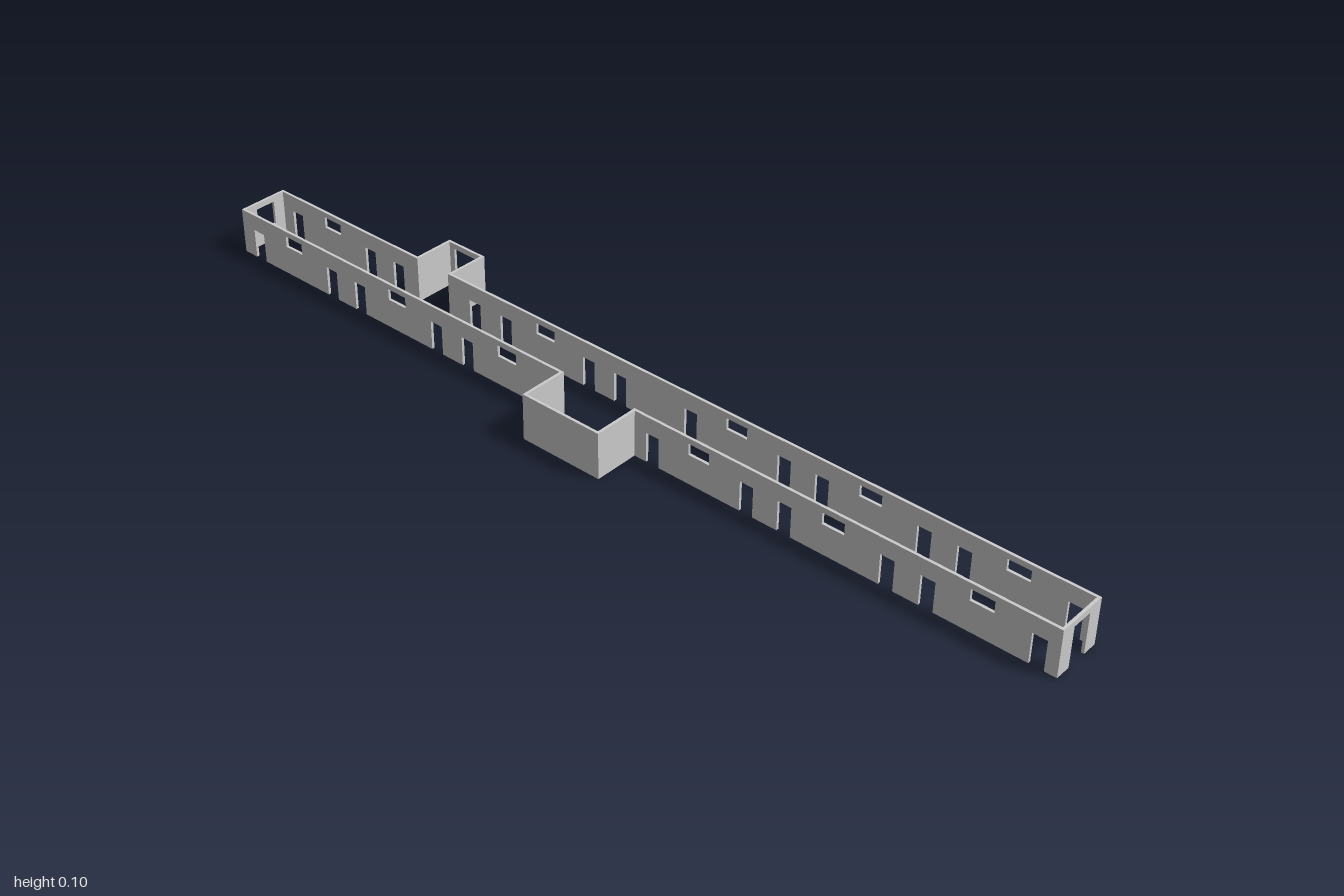
import * as THREE from 'three';

const H = 0.1;        // wall height
const T = 0.006;      // wall thickness
const X0 = -0.052, X1 = 0.06;       // outer faces of the corridor
const BAY = [-0.096, 0.091];        // z range of the bay on the -x side
const PORCH = [-0.592, -0.493];     // z range of the bay on the +x side

// Flat wall from a to b; doors are notches from the floor, windows are holes
function wallGeometry(a, b, doors = [], windows = []) {
  const s = new THREE.Shape();
  s.moveTo(a, 0);
  for (const [d0, d1, top] of [...doors].sort((p, q) => p[0] - q[0])) {
    s.lineTo(d0, 0);
    s.lineTo(d0, top);
    s.lineTo(d1, top);
    s.lineTo(d1, 0);
  }
  s.lineTo(b, 0);
  s.lineTo(b, H);
  s.lineTo(a, H);
  s.closePath();
  for (const [u0, u1, v0, v1] of windows) {
    const h = new THREE.Path();
    h.moveTo(u0, v0);
    h.lineTo(u0, v1);
    h.lineTo(u1, v1);
    h.lineTo(u1, v0);
    h.closePath();
    s.holes.push(h);
  }
  return new THREE.ExtrudeGeometry(s, { depth: T, bevelEnabled: false });
}

export function createModel() {
  const group = new THREE.Group();
  const plaster = new THREE.MeshStandardMaterial({ color: 0xcccccc });
  plaster.name = 'pale grey';

  const add = (name, geometry) => {
    const mesh = new THREE.Mesh(geometry, plaster);
    mesh.name = name;
    group.add(mesh);
  };
  // Wall running along z, occupying x - T .. x
  const alongZ = (name, x, a, b, doors, windows) =>
    add(name, wallGeometry(a, b, doors, windows).rotateY(-Math.PI / 2).translate(x, 0, 0));
  // Wall running along x, occupying z .. z + T
  const alongX = (name, z, a, b, doors, windows) =>
    add(name, wallGeometry(a, b, doors, windows).translate(0, 0, z));

  // Openings shared by both long walls
  const doors = [0.96, 0.741, 0.658, 0.438, 0.353, 0.134, -0.04, -0.12,
    -0.34, -0.425, -0.644, -0.727, -0.95].map((z) => [z - 0.015, z + 0.015, 0.064]);
  const windows = [0.848, 0.543, 0.243, -0.233, -0.535, -0.84]
    .map((z) => [z - 0.024, z + 0.024, 0.064, 0.088]);

  // Long walls, each broken where its bay opens
  for (const [side, x, gap] of [['right', X0 + T, BAY], ['left', X1, PORCH]]) {
    for (const [part, a, b] of [['Back', -1, gap[0] + T], ['Front', gap[1] - T, 1]]) {
      const inside = (o) => o[0] > a && o[1] < b;
      alongZ(`${side}Wall${part}`, x, a, b, doors.filter(inside), windows.filter(inside));
    }
  }

  // End walls: open doorway in front, window at the back
  alongX('frontWall', 1 - T, X0 + T, X1 - T, [[-0.018, 0.028, 0.087]]);
  alongX('backWall', -1, X0 + T, X1 - T, [], [[-0.018, 0.028, 0.034, 0.087]]);

  // Plain bay on the right
  alongZ('rightBayWall', -0.15 + T, BAY[0], BAY[1]);
  alongX('rightBayBack', BAY[0], -0.15 + T, X0);
  alongX('rightBayFront', BAY[1] - T, -0.15 + T, X0);

  // Small bay with a window on the left
  alongZ('leftBayWall', 0.15, PORCH[0], PORCH[1], [], [[-0.573, -0.507, 0.035, 0.088]]);
  alongX('leftBayBack', PORCH[0], X1, 0.15 - T);
  alongX('leftBayFront', PORCH[1] - T, X1, 0.15 - T);

  return group;
}
